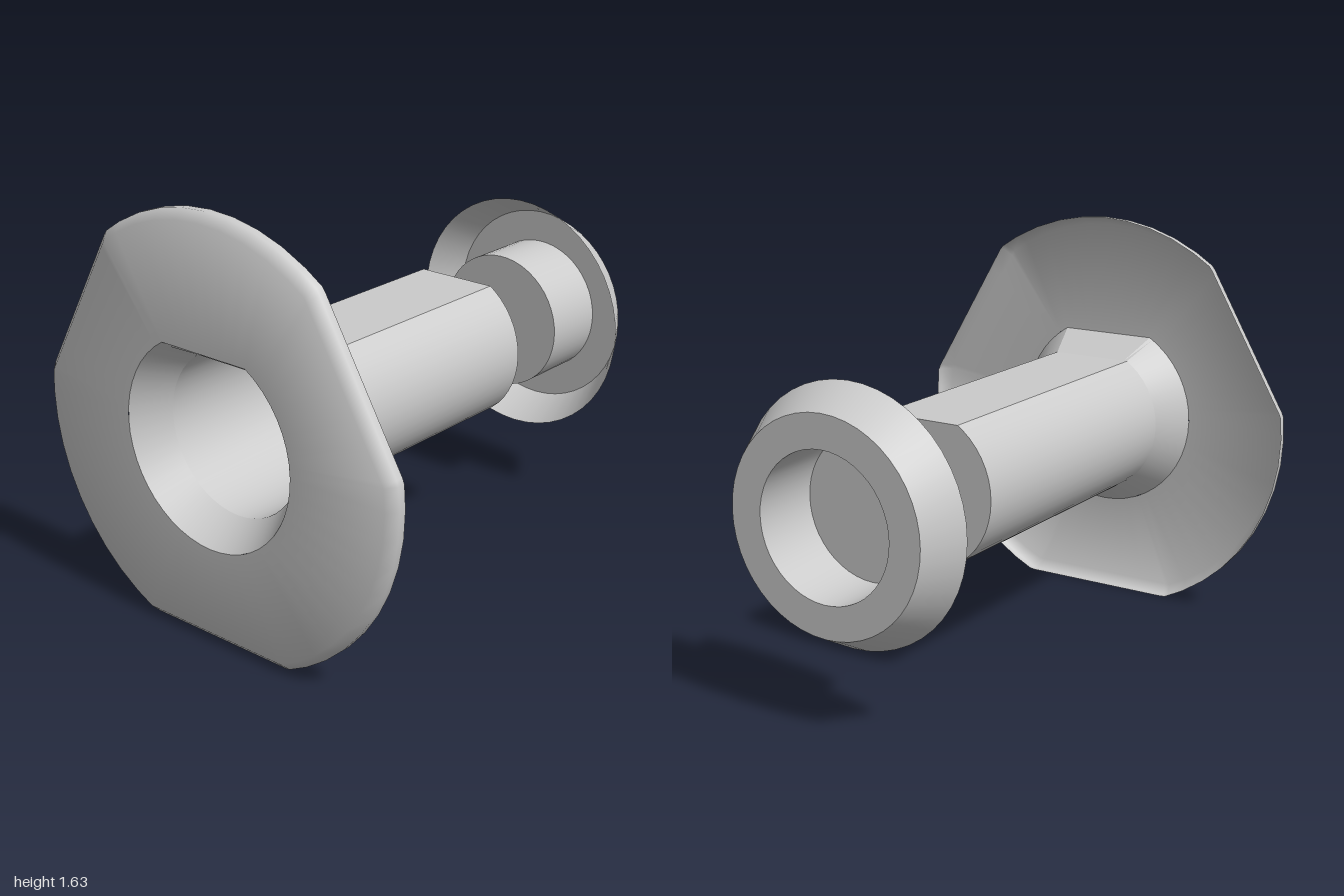
import * as THREE from 'three';
import { toCreasedNormals } from 'three/addons/utils/BufferGeometryUtils.js';

const CENTRE_Y = 0.78;
const UP = Math.PI / 2;
const FLANGE_FLATS = [Math.PI / 6, Math.PI * 5 / 6, Math.PI * 3 / 2];

// Polar radius of a circle trimmed by straight flats facing the given angles
function trimmedRadius(angle, radius, flatDistance, flats) {
  let r = radius;
  for (const f of flats) {
    const c = Math.cos(angle - f);
    if (c > 0) r = Math.min(r, flatDistance / c);
  }
  return r;
}

// Even steps round the circle, with each flat's corners added exactly
function outlineAngles(sections) {
  const list = [];
  const add = (a) => {
    a = (a + Math.PI * 4) % (Math.PI * 2);
    if (!list.some((b) => Math.abs(a - b) < 0.02)) list.push(a);
  };
  for (const s of sections) {
    for (const f of s.flats) {
      const half = Math.acos(s.flat / s.radius);
      add(f - half);
      add(f + half);
    }
  }
  for (let i = 0; i < 48; i++) add(i / 48 * Math.PI * 2);
  return list.sort((a, b) => a - b);
}

// Skin joining trimmed circles placed along z
function loft(sections, crease) {
  const angles = outlineAngles(sections.filter((s) => s.radius > 0));
  const n = angles.length;
  const positions = [];
  const index = [];
  for (const s of sections) {
    for (const a of angles) {
      const r = s.radius > 0 ? trimmedRadius(a, s.radius, s.flat, s.flats) : 0;
      positions.push(r * Math.cos(a), r * Math.sin(a), s.z);
    }
  }
  for (let i = 0; i < sections.length - 1; i++) {
    for (let j = 0; j < n; j++) {
      const k = (j + 1) % n;
      const a = i * n + j, b = i * n + k, c = b + n, d = a + n;
      index.push(a, d, c);
      if (sections[i].radius > 0) index.push(a, c, b);
    }
  }
  const geometry = new THREE.BufferGeometry();
  geometry.setAttribute('position', new THREE.Float32BufferAttribute(positions, 3));
  geometry.setIndex(index);
  return toCreasedNormals(geometry, crease);
}

export function createModel() {
  const group = new THREE.Group();
  const material = new THREE.MeshStandardMaterial({ color: 0xcccccc, side: THREE.DoubleSide });
  const add = (name, geometry) => {
    const mesh = new THREE.Mesh(geometry, material);
    mesh.name = name;
    mesh.position.y = CENTRE_Y;
    group.add(mesh);
  };

  const bore = (z, radius, flat) => ({ z, radius, flat, flats: [UP] });
  const rim = (z, inset) => ({ z, radius: 0.85 - inset, flat: 0.78 - inset, flats: FLANGE_FLATS });

  // Thin front plate with three flats and a bevelled edge, open at the back
  add('frontFlange', loft([bore(1, 0.4, 0.345), rim(1, 0.035), rim(0.965, 0), rim(0.935, 0)], 0.9));

  // Hollow D-shaped barrel: closed at the back, flaring into the plate
  add('barrel', loft([
    bore(-0.42, 0, 0),
    bore(-0.42, 0.315, 0.265),
    bore(0.86, 0.315, 0.265),
    bore(1, 0.4, 0.345),
  ], 0.45));

  // Separate rear cap: cup-shaped plug inside a tapered skirt that is open to the front
  const profile = [[0, -0.72], [0.281, -0.72], [0.281, -1], [0.41, -1], [0.495, -0.845]]
    .map(([r, z]) => new THREE.Vector2(r, z));
  const cap = new THREE.LatheGeometry(profile, 48);
  cap.rotateX(Math.PI / 2);
  add('rearCap', toCreasedNormals(cap, 0.5));

  return group;
}
